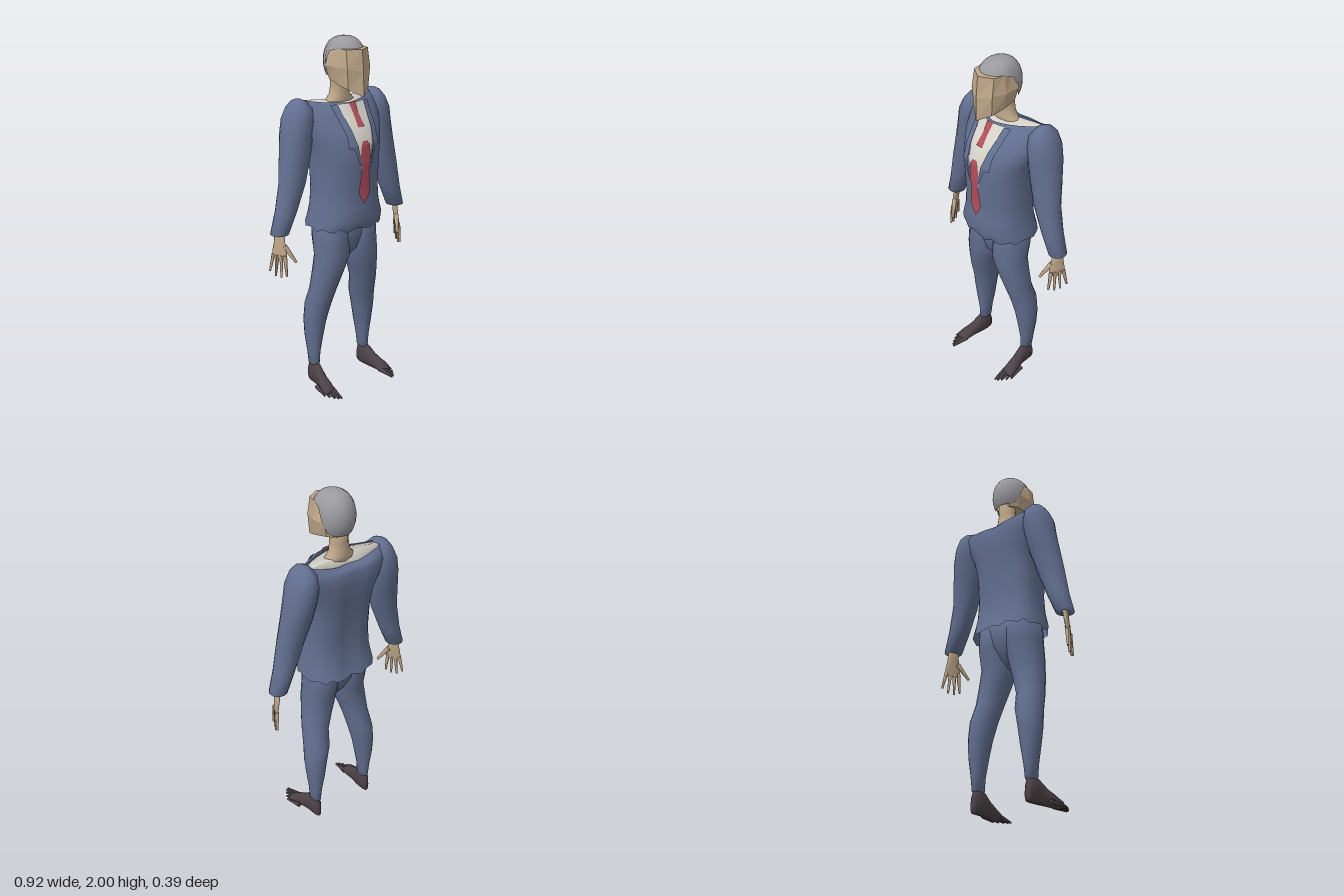
import * as THREE from 'three';

const mat = (name, color, side = THREE.FrontSide) => {
  const m = new THREE.MeshStandardMaterial({ color, side });
  m.name = name;
  return m;
};

// Skin a stack of closed rings; progress x ring direction points outwards
function loft(rings, caps = true) {
  const n = rings[0].length, pos = [], idx = [];
  rings.forEach(r => r.forEach(p => pos.push(...p)));
  for (let i = 0; i < rings.length - 1; i++) for (let j = 0; j < n; j++) {
    const k = (j + 1) % n, a = i * n + j, b = i * n + k;
    idx.push(a, a + n, b, b, a + n, b + n);
  }
  if (caps) [0, rings.length - 1].forEach((i, top) => {
    const c = [0, 1, 2].map(k => rings[i].reduce((s, p) => s + p[k], 0) / n);
    const o = pos.length / 3;
    pos.push(...c);
    for (let j = 0; j < n; j++) {
      const a = i * n + j, b = i * n + (j + 1) % n;
      top ? idx.push(o, b, a) : idx.push(o, a, b);
    }
  });
  const g = new THREE.BufferGeometry();
  g.setAttribute('position', new THREE.Float32BufferAttribute(pos, 3));
  g.setIndex(idx);
  g.computeVertexNormals();
  return g;
}

// Horizontal ellipses from rows of [y, centreX, centreZ, radiusX, radiusZ]
const column = (rows, n = 16) => loft(rows.map(([y, cx, cz, rx, rz]) =>
  Array.from({ length: n }, (_, j) => {
    const a = j / n * Math.PI * 2;
    return [cx + rx * Math.cos(a), y, cz + rz * Math.sin(a)];
  })));

// Tapered digit between two points
function digit(a, b, r0, r1) {
  const A = new THREE.Vector3(...a), B = new THREE.Vector3(...b), d = B.clone().sub(A);
  const g = new THREE.CylinderGeometry(r1, r0, d.length(), 6);
  g.applyQuaternion(new THREE.Quaternion().setFromUnitVectors(new THREE.Vector3(0, 1, 0), d.normalize()));
  const c = A.add(B).multiplyScalar(0.5);
  return g.translate(c.x, c.y, c.z);
}

function mirrored(g) {
  const m = g.clone();
  const p = m.attributes.position;
  for (let i = 0; i < p.count; i++) p.setX(i, -p.getX(i));
  const ix = m.index.array;
  for (let i = 0; i < ix.length; i += 3) [ix[i], ix[i + 1]] = [ix[i + 1], ix[i]];
  m.computeVertexNormals();
  return m;
}

// Jacket body: y, half width, front z, back z, side z, front roundness
const BODY = [
  [0.975, 0.215, 0.14, -0.192, -0.03, 2.4], [1.03, 0.207, 0.162, -0.175, -0.03, 2.4],
  [1.1, 0.195, 0.15, -0.16, -0.03, 2.3], [1.2, 0.19, 0.148, -0.155, -0.03, 2.2],
  [1.35, 0.195, 0.157, -0.165, -0.03, 2.2], [1.45, 0.21, 0.157, -0.18, -0.04, 2.1],
  [1.53, 0.245, 0.125, -0.19, -0.06, 1.9], [1.6, 0.27, 0.075, -0.188, -0.08, 1.6],
  [1.65, 0.265, 0.045, -0.17, -0.095, 1.5], [1.68, 0.24, 0.03, -0.135, -0.1, 1.3],
];

function bodyRing([y, w, zf, zb, zc, nf], i) {
  return Array.from({ length: 32 }, (_, j) => {
    const a = j / 32 * Math.PI * 2, c = Math.cos(a), s = Math.sin(a);
    const front = s >= 0, e = 2 / (front ? nf : 2.6);
    const x = w * Math.sign(c) * Math.pow(Math.abs(c), e);
    let z = zc + ((front ? zf : zb) - zc) * Math.pow(Math.abs(s), e);
    if (j === 24) z += 0.012;
    const middle = 1 - (x / w) ** 2;
    let yy = y;
    if (i === 0) yy += 0.012 * Math.sin(j * 2.4);
    if (i === 8 && !front) yy -= 0.03 * middle;
    if (i === 9) yy -= (front ? 0.025 : 0.05) * middle;
    return [x, yy, z];
  });
}

// Depth of the jacket front at x, y
function frontZ(x, y) {
  let i = 0;
  while (i < BODY.length - 2 && BODY[i + 1][0] < y) i++;
  const t = (y - BODY[i][0]) / (BODY[i + 1][0] - BODY[i][0]);
  const [, w, zf, , zc, n] = BODY[i].map((v, k) => v + (BODY[i + 1][k] - v) * t);
  return zc + (zf - zc) * Math.pow(1 - Math.min(1, Math.abs(x / w)) ** n, 1 / n);
}

// Thin panel lying on the jacket front; rows of [y, x0, x1] going down
function panel(rows, lift) {
  const pos = [], idx = [], nx = 6, ny = 8;
  let count = 0;
  for (let r = 0; r < rows.length - 1; r++) for (let v = r ? 1 : 0; v <= ny; v++) {
    const [y, x0, x1] = rows[r].map((q, k) => q + (rows[r + 1][k] - q) * v / ny);
    for (let u = 0; u <= nx; u++) {
      const x = x0 + (x1 - x0) * u / nx;
      pos.push(x, y, frontZ(x, y) + lift);
    }
    count++;
  }
  for (let i = 0; i < count - 1; i++) for (let u = 0; u < nx; u++) {
    const a = i * (nx + 1) + u, b = a + nx + 1;
    idx.push(a, b, a + 1, a + 1, b, b + 1);
  }
  const g = new THREE.BufferGeometry();
  g.setAttribute('position', new THREE.Float32BufferAttribute(pos, 3));
  g.setIndex(idx);
  g.computeVertexNormals();
  return g;
}

export function createModel() {
  const model = new THREE.Group();
  model.name = 'suitedMan';
  const suit = mat('suitBlue', 0x626f90, THREE.DoubleSide);
  const skin = mat('skin', 0xbfa78a);
  const white = mat('shirtWhite', 0xd6d3ca, THREE.DoubleSide);
  const red = mat('tieRed', 0xb04f5c, THREE.DoubleSide);
  const grey = mat('hairGrey', 0x9a9a9f, THREE.DoubleSide);
  const dark = mat('shoeDark', 0x4c4247);
  const add = (name, g, m) => {
    const mesh = new THREE.Mesh(g, m);
    mesh.name = name;
    model.add(mesh);
  };
  const pair = (name, g, m) => {
    add(name + 'Left', g, m);
    add(name + 'Right', mirrored(g), m);
  };

  // Jacket, sleeves and lapels
  add('jacket', loft(BODY.map(bodyRing), false), suit);
  pair('sleeve', column([
    [0.98, 0.41, -0.06, 0.05, 0.052], [1.1, 0.366, -0.058, 0.06, 0.06],
    [1.25, 0.322, -0.058, 0.077, 0.068], [1.4, 0.288, -0.075, 0.087, 0.085],
    [1.5, 0.272, -0.085, 0.084, 0.098], [1.58, 0.26, -0.085, 0.082, 0.1],
    [1.64, 0.25, -0.085, 0.063, 0.085], [1.675, 0.252, -0.085, 0.035, 0.05],
    [1.686, 0.252, -0.085, 0.012, 0.02],
  ]), suit);
  pair('lapel', panel([[1.655, 0.088, 0.125], [1.5, 0.06, 0.1], [1.44, 0.048, 0.1],
    [1.43, 0.046, 0.07], [1.34, 0.026, 0.036]], 0.012), suit);

  // Shirt: shoulder yoke inside the collar and front wedge
  const rim = bodyRing(BODY[9], 9);
  const inset = (k, y) => rim.map(p => [p[0] * k, y === undefined ? p[1] - 0.006 : y, -0.06 + (p[2] + 0.06) * k]);
  add('shirtYoke', loft([inset(0.98), inset(0.4, 1.63)]), white);
  add('shirtFront', panel([[1.655, -0.095, 0.095], [1.37, -0.034, 0.034], [1.22, -0.01, 0.01]], 0.004), white);

  // Tie in two visible lengths
  add('tieKnot', panel([[1.66, -0.022, 0.022], [1.6, -0.017, 0.017], [1.54, -0.022, 0.022]], 0.01), red);
  add('tieBlade', panel([[1.47, -0.014, 0.014], [1.45, -0.027, 0.027], [1.38, -0.034, 0.034],
    [1.3, -0.026, 0.026], [1.2, -0.038, 0.038], [1.17, -0.032, 0.032], [1.12, -0.002, 0.002]], 0.009), red);

  // Trousers
  add('trouserSeat', column([[0.78, 0, -0.01, 0.015, 0.03], [0.83, 0, -0.01, 0.06, 0.075],
    [0.9, 0, -0.02, 0.12, 0.1], [1.03, 0, -0.025, 0.185, 0.12]]), suit);
  pair('trouserLeg', column([
    [0.12, 0.182, -0.073, 0.025, 0.042], [0.2, 0.182, -0.075, 0.034, 0.046],
    [0.3, 0.18, -0.075, 0.05, 0.06], [0.4, 0.175, -0.07, 0.064, 0.07],
    [0.5, 0.16, -0.06, 0.073, 0.08], [0.6, 0.145, -0.03, 0.076, 0.08],
    [0.7, 0.123, -0.015, 0.088, 0.09], [0.8, 0.1, -0.005, 0.1, 0.1],
    [0.9, 0.098, -0.02, 0.098, 0.113], [1.03, 0.095, -0.025, 0.095, 0.115],
  ]), suit);

  // Feet: sections from heel to ball, then toes
  const foot = [[-0.113, 0.184, 0.08, 0.014], [-0.1, 0.184, 0.12, 0.024], [-0.065, 0.184, 0.14, 0.03],
    [-0.03, 0.186, 0.125, 0.029], [0.02, 0.194, 0.088, 0.031], [0.07, 0.203, 0.062, 0.037],
    [0.105, 0.208, 0.042, 0.038], [0.12, 0.208, 0.03, 0.03]];
  pair('foot', loft(foot.map(([z, cx, top, w]) => Array.from({ length: 12 }, (_, j) => {
    const a = j / 12 * Math.PI * 2;
    return [cx + w * Math.cos(a), Math.max(0.004, top / 2 - (top / 2) * 1.1 * Math.sin(a)), z];
  }))), dark);
  [[0.182, 0.19, 0.195], [0.194, 0.205, 0.188], [0.207, 0.22, 0.17], [0.22, 0.236, 0.145], [0.232, 0.25, 0.118]]
    .forEach(([x0, x1, z], i) => pair('toe' + (i + 1),
      digit([x0, 0.02, z - 0.1], [x1, 0.009, z], 0.017 - i * 0.001, 0.005), dark));

  // Hands: flattened palm turned across the body, four fingers and a thumb
  const across = (x, y, z, k) => [x - 0.42 * k, y, z + 0.9 * k];
  pair('palm', loft([[0.842, 0.422, -0.05, 0.046, 0.011], [0.88, 0.42, -0.05, 0.045, 0.015],
    [0.925, 0.415, -0.055, 0.036, 0.018], [1.0, 0.41, -0.06, 0.029, 0.022]].map(([y, cx, cz, w, t]) =>
    Array.from({ length: 10 }, (_, j) => {
      const a = j / 10 * Math.PI * 2, k = -w * Math.cos(a), s = t * Math.sin(a);
      return [cx - 0.42 * k + 0.9 * s * 0.6, y, cz + 0.9 * k + 0.42 * s];
    }))), skin);
  [-0.036, -0.012, 0.012, 0.035].forEach((k, i) => pair('finger' + (i + 1),
    digit(across(0.422, 0.865, -0.05, k), across(0.43, [0.765, 0.742, 0.738, 0.75][i], -0.05, k * 1.5), 0.0115, 0.006), skin));
  pair('thumb', digit([0.4, 0.915, -0.03], [0.362, 0.828, 0.022], 0.015, 0.007), skin);

  // Neck
  add('neck', column([[1.63, 0, -0.06, 0.12, 0.045], [1.662, 0, -0.06, 0.085, 0.05],
    [1.69, 0, -0.06, 0.06, 0.047], [1.74, 0, -0.058, 0.052, 0.045], [1.82, 0, -0.058, 0.055, 0.05]], 12), skin);

  // Faceted face: half outlines [x, y, z] from front to back, mirrored
  const outline = half => [
    ...half.slice(1).reverse(), half[0], ...half.slice(1).map(([x, y, z]) => [-x, y, z]),
  ];
  add('face', loft([
    outline([[0, 1.7, 0.145], [0.067, 1.738, 0.1], [0.085, 1.76, 0.03], [0.075, 1.775, -0.05], [0.045, 1.775, -0.09]]),
    outline([[0, 1.83, 0.142], [0.076, 1.85, 0.103], [0.1, 1.85, 0.03], [0.094, 1.85, -0.06], [0.05, 1.85, -0.1]]),
    outline([[0, 1.945, 0.13], [0.072, 1.945, 0.088], [0.084, 1.945, 0.03], [0.07, 1.945, -0.05], [0.03, 1.945, -0.08]]),
  ]).toNonIndexed(), skin);
  const face = model.getObjectByName('face').geometry;
  face.computeVertexNormals();

  // Hair: dome cut high at the brow and low at the nape
  const hair = [];
  for (let i = 0; i <= 10; i++) hair.push(Array.from({ length: 24 }, (_, j) => {
    const a = j / 24 * Math.PI * 2;
    const cut = 0.52 - 1.17 * THREE.MathUtils.smoothstep(-Math.sin(a), -0.1, 0.65);
    const th = Math.acos(cut) * (1 - i / 10) + 0.001;
    const s = Math.pow(Math.sin(th), 0.75);
    return [0.107 * s * Math.cos(a), 1.87 + 0.13 * Math.cos(th), -0.015 + 0.125 * s * Math.sin(a)];
  }));
  add('hair', loft(hair, false), grey);

  return model;
}
